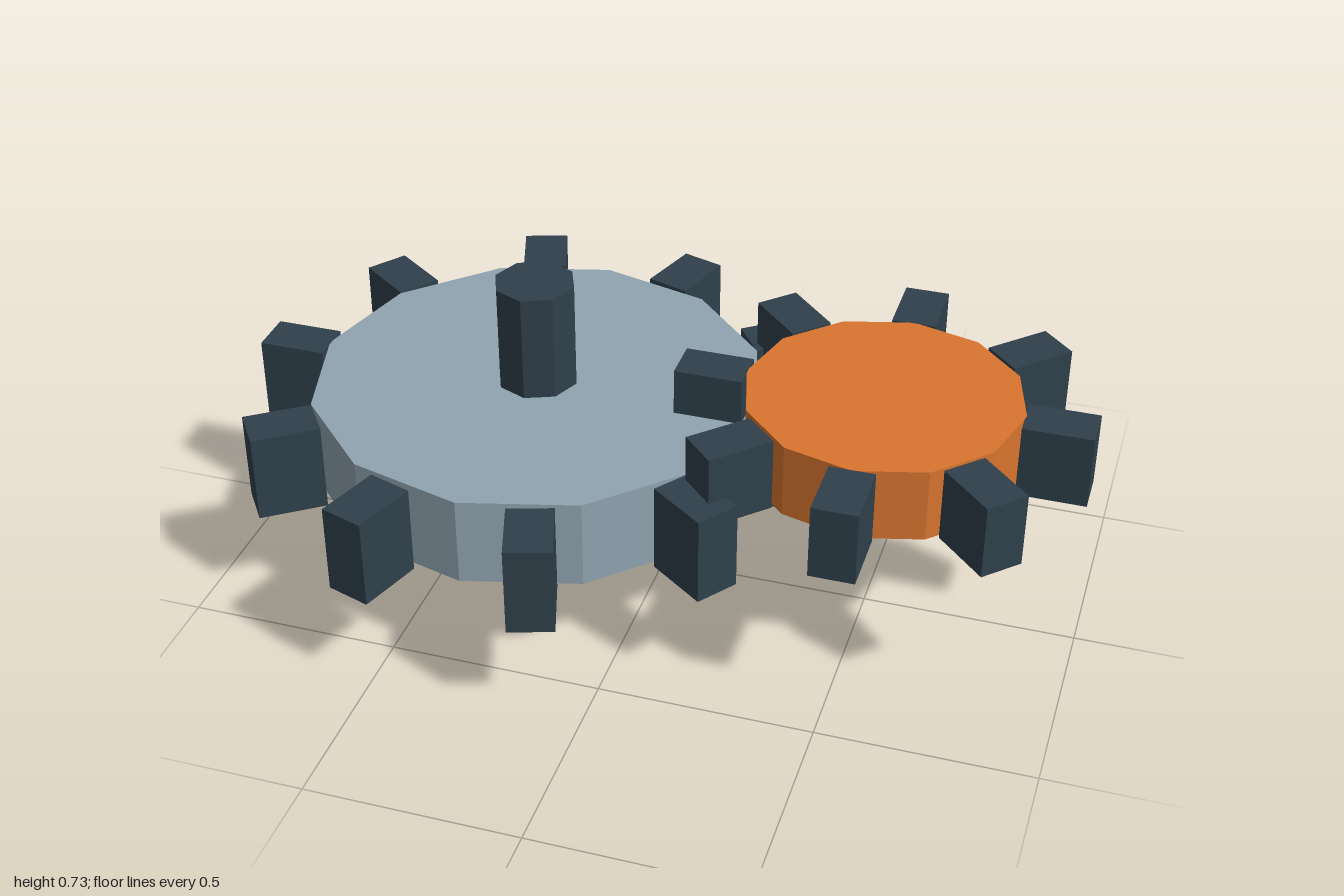
import * as THREE from 'three';

const material = (color) => {
  const m = new THREE.MeshStandardMaterial({ flatShading: true });
  m.color.set(color);
  return m;
};

function createGear(name, { radius, height, teeth, toothLength, toothWidth, discMaterial, toothMaterial }) {
  const gear = new THREE.Group();
  gear.name = name;

  // Twelve-sided disc
  const disc = new THREE.Mesh(new THREE.CylinderGeometry(radius, radius, height, 12), discMaterial);
  disc.name = name + 'Disc';
  gear.add(disc);

  // Ring of block teeth, pushed out to the rim before turning
  const toothGeometry = new THREE.BoxGeometry(toothLength, height, toothWidth);
  toothGeometry.translate(radius + toothLength / 2 - 0.003, 0, 0);
  for (let i = 0; i < teeth; i++) {
    const tooth = new THREE.Mesh(toothGeometry, toothMaterial);
    tooth.name = name + 'Tooth';
    tooth.rotation.y = (i / teeth) * Math.PI * 2;
    gear.add(tooth);
  }
  return gear;
}

export function createModel() {
  const model = new THREE.Group();
  model.name = 'gearPair';
  const steel = material(0x90a4b0);
  const orange = material(0xd9752f);
  const dark = material(0x2f404b);

  // Large lower gear
  const largeGear = createGear('largeGear', {
    radius: 0.533, height: 0.213, teeth: 10, toothLength: 0.16, toothWidth: 0.107,
    discMaterial: steel, toothMaterial: dark,
  });
  largeGear.position.set(-0.31, 0.367, 0);

  // Small upper gear
  const smallGear = createGear('smallGear', {
    radius: 0.32, height: 0.176, teeth: 8, toothLength: 0.16, toothWidth: 0.104,
    discMaterial: orange, toothMaterial: dark,
  });
  smallGear.position.set(0.517, 0.498, 0);

  // Eight-sided axle through the large gear
  const axle = new THREE.Mesh(new THREE.CylinderGeometry(0.096, 0.096, 0.733, 8), dark);
  axle.name = 'axle';
  axle.position.set(-0.31, 0.3665, 0);

  model.add(largeGear, smallGear, axle);
  return model;
}
